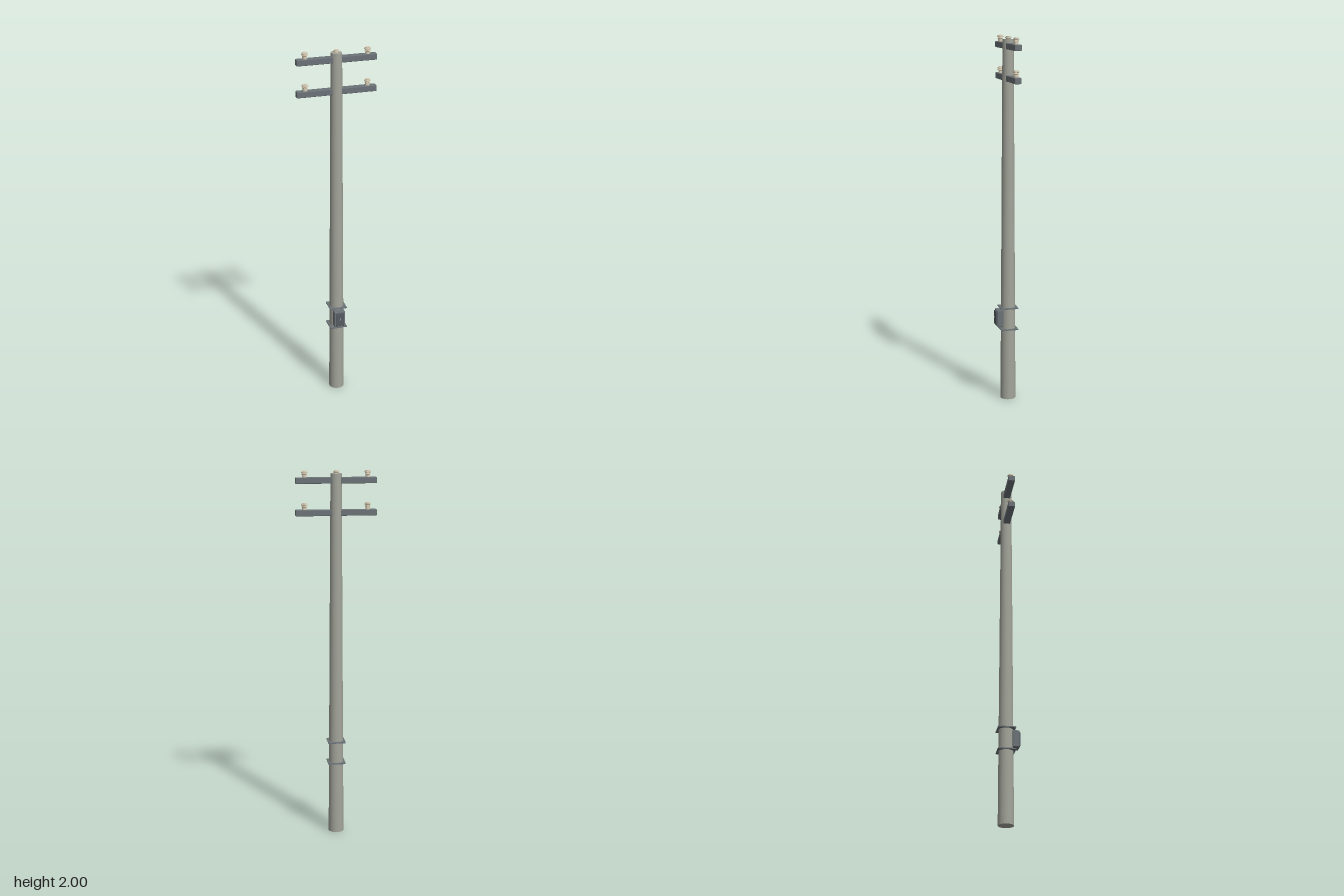
import * as THREE from 'three';
import { RoundedBoxGeometry } from 'three/addons/geometries/RoundedBoxGeometry.js';

const concrete = new THREE.MeshStandardMaterial({ color: 0xa3a59b });
const steel = new THREE.MeshStandardMaterial({ color: 0x6c7378 });
const darkSteel = new THREE.MeshStandardMaterial({ color: 0x555c62 });
const ceramic = new THREE.MeshStandardMaterial({ color: 0xd8ccb4, side: THREE.DoubleSide });

export function createModel() {
  const model = new THREE.Group();
  const axis = new THREE.Group(); // everything hangs on the pole's axis
  axis.name = 'utilityPole';
  axis.position.z = -0.016;
  model.add(axis);

  function add(name, geometry, material, x, y, z) {
    const mesh = new THREE.Mesh(geometry, material);
    mesh.name = name;
    mesh.position.set(x, y, z);
    axis.add(mesh);
    return mesh;
  }

  // Tapered pole
  add('pole', new THREE.CylinderGeometry(0.03, 0.042, 1.985, 24), concrete, 0, 0.9925, 0);

  // Insulator profile: stem, lower skirt, neck, upper skirt, crown
  const profile = [
    [0, 0], [0.012, 0], [0.012, 0.014], [0.015, 0.016], [0.015, 0.019],
    [0.012, 0.02], [0.012, 0.023], [0.0175, 0.025], [0.0175, 0.03],
    [0.012, 0.031], [0.012, 0.035], [0, 0.035],
  ].map(([r, y]) => new THREE.Vector2(r, y));
  const insulator = new THREE.LatheGeometry(profile, 16).toNonIndexed();
  insulator.computeVertexNormals();

  // Two crossarms, each carrying a pair of insulators
  for (const y of [1.78, 1.949]) {
    add('crossarm', new RoundedBoxGeometry(0.43, 0.032, 0.037, 1, 0.003), steel, 0, y, 0);
    for (const side of [-1, 1]) {
      add('insulator', insulator, ceramic, side * 0.168, y + 0.016, 0);
    }
  }
  add('topInsulator', insulator, ceramic, 0, 1.965, 0);

  // Square mounting plates above and below the box
  for (const y of [0.402, 0.522]) {
    add('mountingPlate', new THREE.BoxGeometry(0.095, 0.006, 0.095), steel, 0, y, 0);
  }

  // Junction box with a raised door and latch
  add('junctionBox', new RoundedBoxGeometry(0.061, 0.092, 0.036, 1, 0.003), steel, 0, 0.465, 0.05);
  add('boxDoor', new RoundedBoxGeometry(0.048, 0.078, 0.008, 1, 0.002), darkSteel, 0, 0.465, 0.069);
  add('doorLatch', new THREE.BoxGeometry(0.005, 0.01, 0.003), ceramic, 0, 0.468, 0.0735);

  return model;
}
